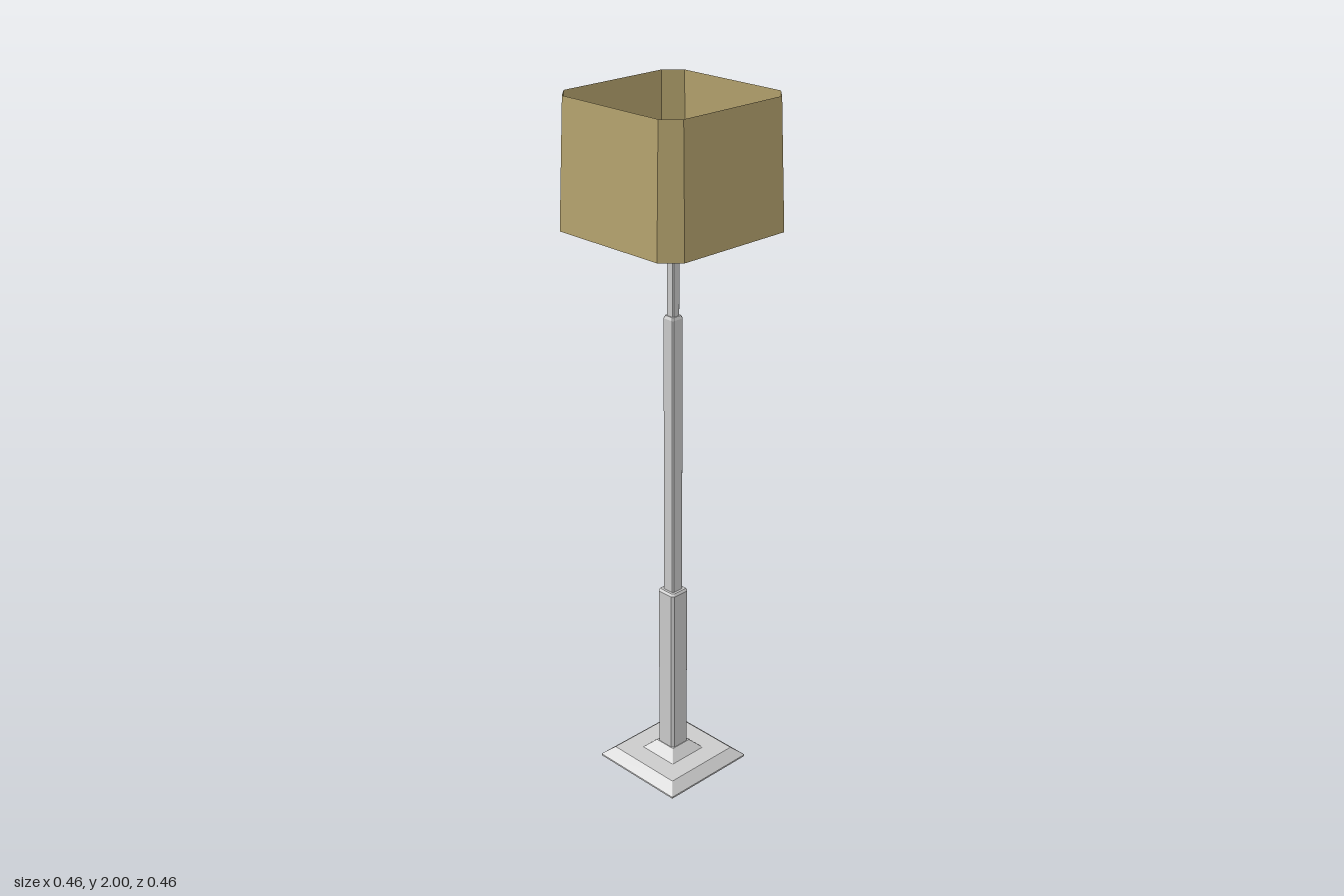
import * as THREE from 'three';

const grey = new THREE.MeshStandardMaterial({ color: 0xcccccc, flatShading: true });
const dark = new THREE.MeshStandardMaterial({ color: 0x555555, flatShading: true });
const fabric = new THREE.MeshStandardMaterial({ color: 0xb5a36e, flatShading: true, side: THREE.DoubleSide });

// Square ring with cut corners, running counter-clockwise seen from above
function ring([y, half, cut]) {
  const h = half, c = half - cut;
  return [[h, c], [h, -c], [c, -h], [-c, -h], [-h, -c], [-h, c], [-c, h], [c, h]]
    .map(([x, z]) => new THREE.Vector3(x, y, z));
}

// Skin a stack of [height, half width, corner cut] sections, with optional end caps
function loft(sections, capped = true) {
  const rings = sections.map(ring);
  const points = [];
  for (let i = 0; i + 1 < rings.length; i++) {
    for (let j = 0; j < 8; j++) {
      const k = (j + 1) % 8;
      const a = rings[i][j], b = rings[i][k], c = rings[i + 1][k], d = rings[i + 1][j];
      points.push(a, b, c, a, c, d);
    }
  }
  if (capped) {
    const low = rings[0], high = rings[rings.length - 1];
    for (let j = 1; j < 7; j++) {
      points.push(low[0], low[j + 1], low[j], high[0], high[j], high[j + 1]);
    }
  }
  const geometry = new THREE.BufferGeometry().setFromPoints(points);
  geometry.computeVertexNormals();
  return geometry;
}

function add(parent, name, geometry, material) {
  const mesh = new THREE.Mesh(geometry, material);
  mesh.name = name;
  parent.add(mesh);
  return mesh;
}

export function createModel() {
  const lamp = new THREE.Group();
  lamp.name = 'floorLamp';

  // Stand: stepped foot and three narrowing posts
  const stand = new THREE.Group();
  stand.name = 'stand';
  stand.position.z = 0.004;
  lamp.add(stand);
  add(stand, 'foot', loft([[0, 0.152, 0.001], [0.005, 0.152, 0.001], [0.031, 0.122, 0.001]]), grey);
  add(stand, 'footStep', loft([[0.03, 0.064, 0.001], [0.058, 0.034, 0.001]]), grey);
  add(stand, 'lowerPost', loft([[0.055, 0.032, 0.007], [0.57, 0.032, 0.007], [0.577, 0.027, 0.006]]), grey);
  add(stand, 'middlePost', loft([[0.57, 0.02, 0.004], [1.4, 0.02, 0.004], [1.408, 0.016, 0.003]]), grey);
  add(stand, 'upperPost', loft([[1.4, 0.013, 0.003], [1.69, 0.013, 0.003]]), grey);

  // Ball holding the shade
  const ball = add(stand, 'ball', new THREE.SphereGeometry(0.025, 8, 6), dark);
  ball.position.y = 1.7;

  // Four rods from the post to the shade corners
  const start = new THREE.Vector3(0, 1.685, 0.004);
  for (const sx of [-1, 1]) {
    for (const sz of [-1, 1]) {
      const end = new THREE.Vector3(sx * 0.203, 1.665, sz * 0.203);
      add(lamp, 'shadeRod', new THREE.TubeGeometry(new THREE.LineCurve3(start, end), 1, 0.003, 4), dark);
    }
  }

  // Open, slightly tapered shade
  add(lamp, 'shade', loft([[1.648, 0.229, 0.048], [2, 0.216, 0.043]], false), fabric);

  return lamp;
}
